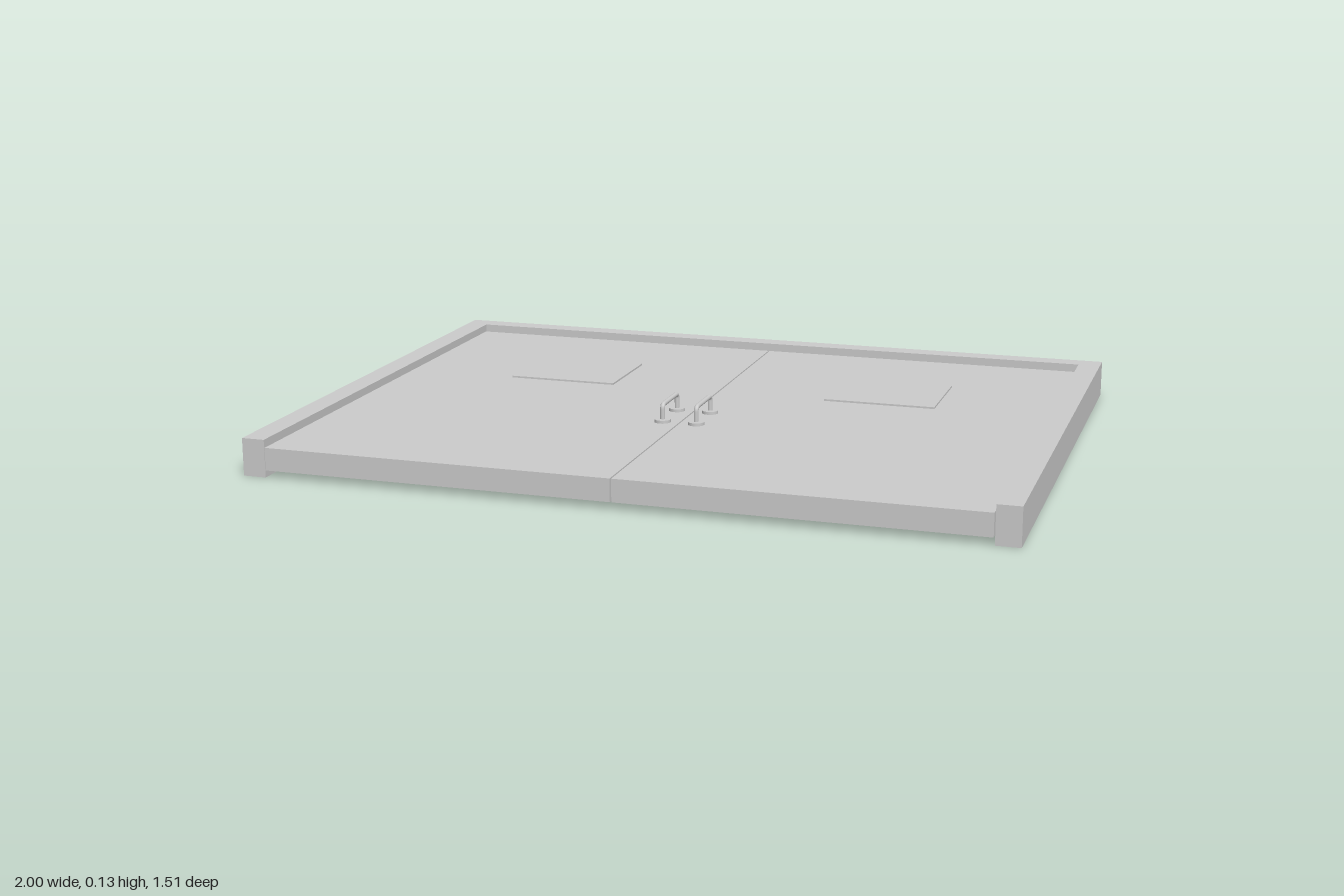
import * as THREE from 'three';

const material = new THREE.MeshStandardMaterial({ color: 0xcccccc });

// Box given by its limits on each axis
function box(name, x0, x1, y0, y1, z0, z1) {
  const mesh = new THREE.Mesh(new THREE.BoxGeometry(x1 - x0, y1 - y0, z1 - z0), material);
  mesh.position.set((x0 + x1) / 2, (y0 + y1) / 2, (z0 + z1) / 2);
  mesh.name = name;
  return mesh;
}

// Pull handle: bent bar standing on two round plates
function createHandle(x) {
  const handle = new THREE.Group();
  handle.name = 'handle';
  const z0 = 0.082, z1 = 0.208, base = 0.08, top = 0.127, bend = 0.012;
  const v = (y, z) => new THREE.Vector3(0, y, z);
  const path = new THREE.CurvePath();
  path.add(new THREE.LineCurve3(v(base, z0), v(top - bend, z0)));
  path.add(new THREE.QuadraticBezierCurve3(v(top - bend, z0), v(top, z0), v(top, z0 + bend)));
  path.add(new THREE.LineCurve3(v(top, z0 + bend), v(top, z1 - bend)));
  path.add(new THREE.QuadraticBezierCurve3(v(top, z1 - bend), v(top, z1), v(top - bend, z1)));
  path.add(new THREE.LineCurve3(v(top - bend, z1), v(base, z1)));
  const bar = new THREE.Mesh(new THREE.TubeGeometry(path, 64, 0.0065, 12), material);
  bar.name = 'handleBar';
  handle.add(bar);
  for (const z of [z0, z1]) {
    const plate = new THREE.Mesh(new THREE.CylinderGeometry(0.022, 0.022, 0.008, 32), material);
    plate.position.set(0, base + 0.004, z);
    plate.name = 'handlePlate';
    handle.add(plate);
  }
  handle.position.x = x;
  return handle;
}

export function createModel() {
  const model = new THREE.Group();
  model.name = 'doubleDoor';

  // Three-sided frame, open at the threshold
  const frame = new THREE.Group();
  frame.name = 'frame';
  frame.add(box('header', -1, 1, 0, 0.1, -0.755, -0.7));
  frame.add(box('rightJamb', -1, -0.938, 0, 0.1, -0.7, 0.752));
  frame.add(box('leftJamb', 0.938, 1, 0, 0.1, -0.7, 0.752));
  model.add(frame);

  // Mirrored door leaves with window panes and handles
  for (const side of [-1, 1]) {
    const leaf = new THREE.Group();
    leaf.name = side < 0 ? 'rightDoor' : 'leftDoor';
    const span = (a, b) => (side < 0 ? [-b, -a] : [a, b]);
    leaf.add(box('doorPanel', ...span(0.002, 0.935), 0.02, 0.08, -0.688, 0.755));
    leaf.add(box('windowPane', ...span(0.31, 0.62), 0.015, 0.085, -0.395, -0.138));
    leaf.add(createHandle(side * 0.047));
    model.add(leaf);
  }
  return model;
}
